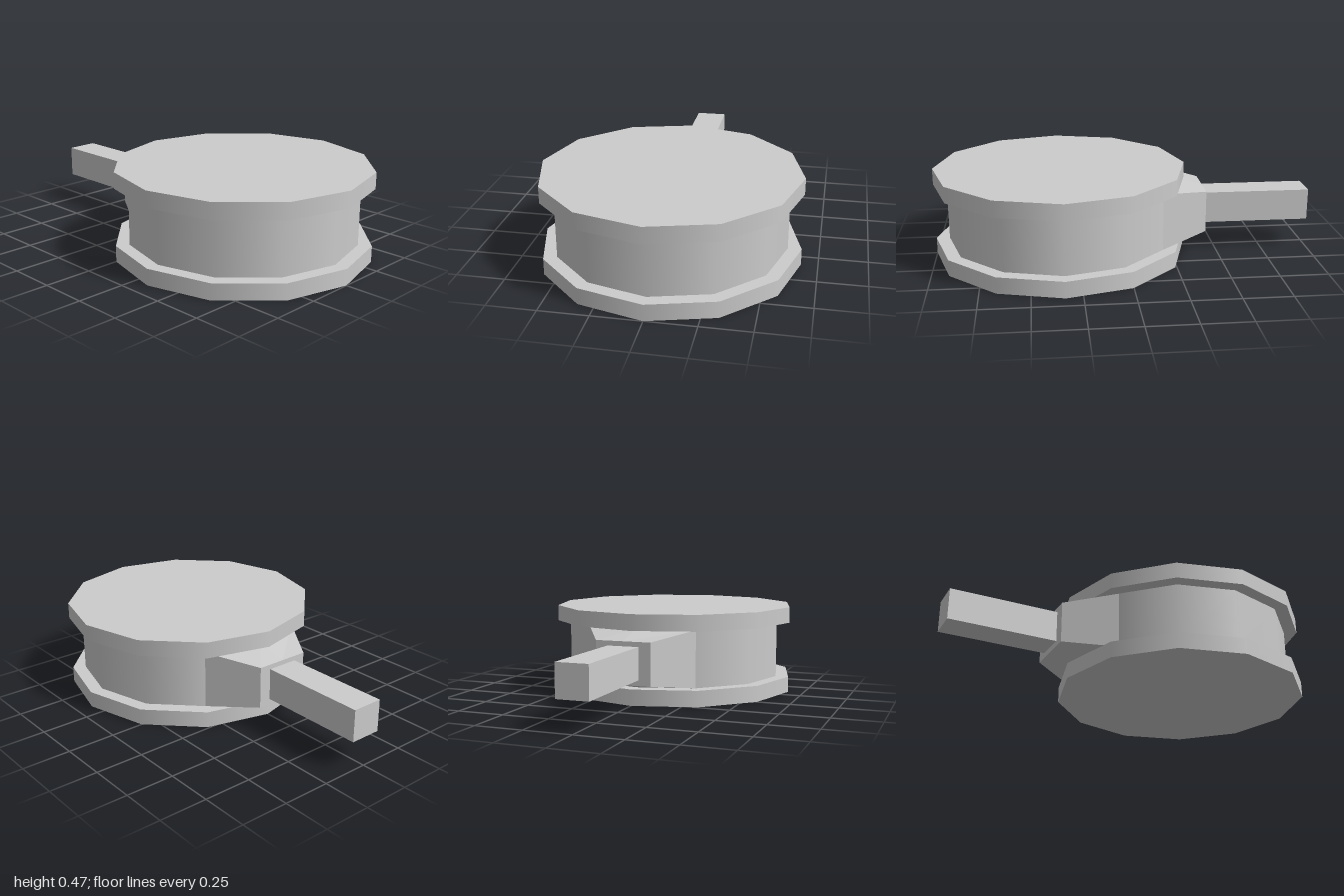
import * as THREE from 'three';

const CX = 0.335; // axis of the round body

export function createModel() {
  const group = new THREE.Group();
  const material = new THREE.MeshStandardMaterial({ color: 0xcccccc });

  const add = (name, geometry, x, y) => {
    const mesh = new THREE.Mesh(geometry, material);
    mesh.name = name;
    mesh.position.set(x, y, 0);
    group.add(mesh);
  };
  const disc = (name, radius, y0, y1) =>
    add(name, new THREE.CylinderGeometry(radius, radius, y1 - y0, 12), CX, (y0 + y1) / 2);

  // Twelve-sided drum between two wider flanges
  disc('bottomFlange', 0.665, 0, 0.085);
  disc('drum', 0.595, 0.085, 0.385);
  disc('topFlange', 0.665, 0.385, 0.47);

  // Tapered neck growing out of the two end faces of the drum
  add('neck', neckGeometry(), 0, 0.235);

  // Square handle
  add('handle', new THREE.BoxGeometry(0.57, 0.166, 0.166), -0.715, 0.237);

  return group;
}

// Lofts a six-point section from the drum to the narrow end, and caps the end
function neckGeometry() {
  const section = (xSide, xMid, halfZ, halfY) => [
    [xSide, halfY, -halfZ], [xMid, halfY, 0], [xSide, halfY, halfZ],
    [xSide, -halfY, halfZ], [xMid, -halfY, 0], [xSide, -halfY, -halfZ],
  ];
  const root = section(CX - 0.515, CX - 0.595, 0.2975, 0.15);
  const end = section(-0.43, -0.43, 0.146, 0.11);
  const points = [];
  for (let i = 0; i < 6; i++) {
    const j = (i + 1) % 6;
    points.push(end[i], end[j], root[j], end[i], root[j], root[i]);
  }
  for (let i = 1; i < 5; i++) points.push(end[0], end[i + 1], end[i]);

  const geometry = new THREE.BufferGeometry();
  geometry.setAttribute('position', new THREE.Float32BufferAttribute(points.flat(), 3));
  geometry.computeVertexNormals();
  return geometry;
}
